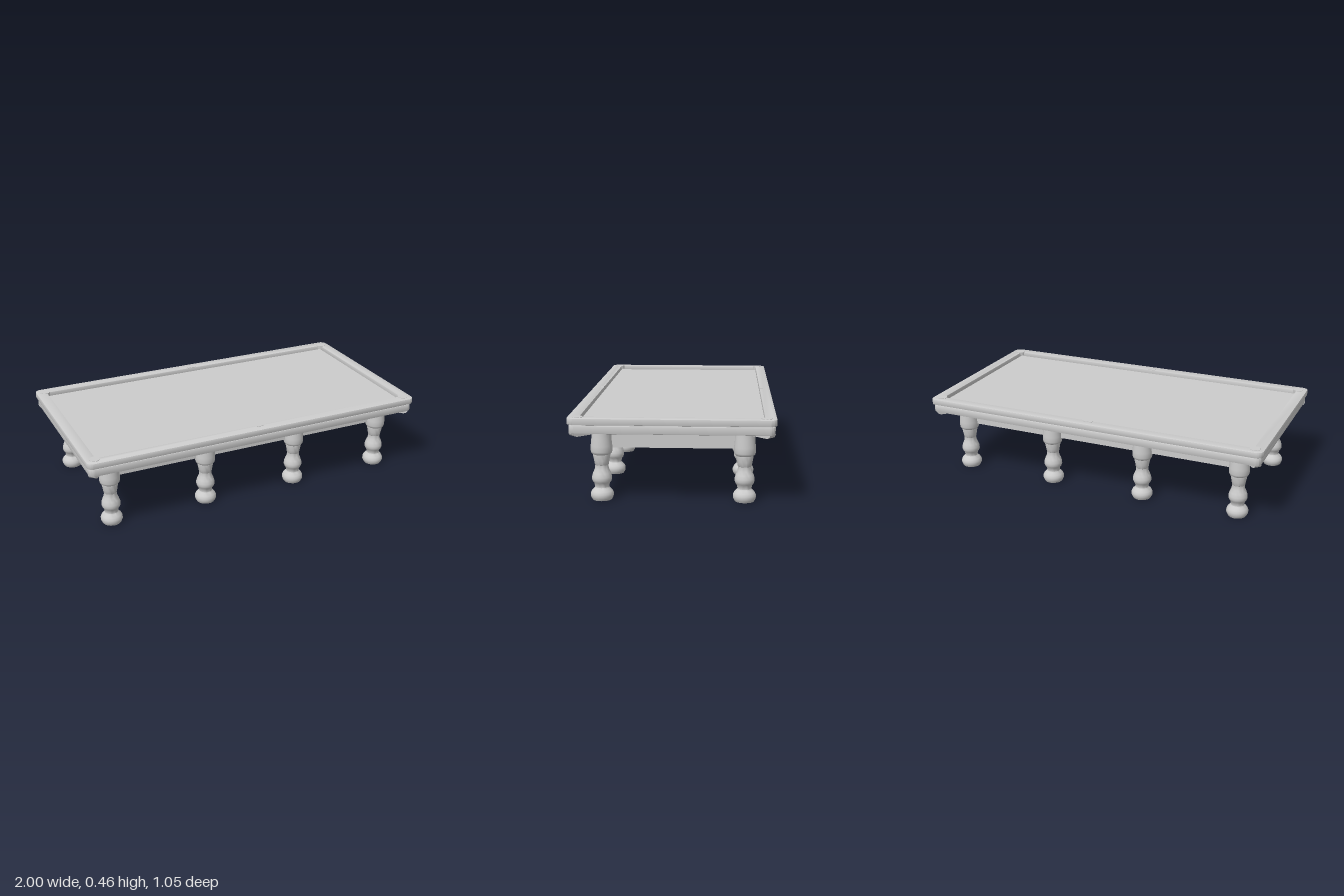
import * as THREE from 'three';
import { toCreasedNormals } from 'three/addons/utils/BufferGeometryUtils.js';

const material = new THREE.MeshStandardMaterial({ color: 0xcccccc });

function add(parent, name, geometry, x = 0, y = 0, z = 0) {
  const mesh = new THREE.Mesh(geometry, material);
  mesh.name = name;
  mesh.position.set(x, y, z);
  parent.add(mesh);
  return mesh;
}

// Rectangle with rounded corners, half sizes w and d
function roundedRect(w, d, r, Type = THREE.Shape) {
  const s = new Type();
  s.moveTo(-w + r, -d);
  s.lineTo(w - r, -d);
  s.absarc(w - r, -d + r, r, -Math.PI / 2, 0);
  s.lineTo(w, d - r);
  s.absarc(w - r, d - r, r, 0, Math.PI / 2);
  s.lineTo(-w + r, d);
  s.absarc(-w + r, d - r, r, Math.PI / 2, Math.PI);
  s.lineTo(-w, -d + r);
  s.absarc(-w + r, -d + r, r, Math.PI, Math.PI * 1.5);
  return s;
}

// Horizontal slab from height y0 to y1, with an optional small bevel
function slab(shape, y0, y1, bevel = 0) {
  const g = new THREE.ExtrudeGeometry(shape, {
    depth: y1 - y0 - 2 * bevel, curveSegments: 6,
    bevelEnabled: bevel > 0, bevelSize: bevel, bevelOffset: -bevel,
    bevelThickness: bevel, bevelSegments: 2,
  });
  g.rotateX(-Math.PI / 2);
  g.translate(0, y0 + bevel, 0);
  return toCreasedNormals(g, 0.6);
}

export function createModel() {
  const table = new THREE.Group();
  table.name = 'billiardTable';

  // Top rail around the sunken playing bed
  const rail = roundedRect(1, 0.527, 0.035);
  const hole = new THREE.Path();
  hole.moveTo(-0.94, -0.467);
  hole.lineTo(-0.94, 0.467);
  hole.lineTo(0.94, 0.467);
  hole.lineTo(0.94, -0.467);
  hole.closePath();
  rail.holes.push(hole);
  add(table, 'rail', slab(rail, 0.422, 0.455, 0.003));
  add(table, 'playingBed', new THREE.BoxGeometry(1.92, 0.02, 0.97), 0, 0.421, 0);

  // Shadow groove and moulded apron under the rail
  add(table, 'groove', slab(roundedRect(0.986, 0.513, 0.03), 0.412, 0.425));
  add(table, 'apron', slab(roundedRect(0.99, 0.519, 0.03), 0.375, 0.417, 0.004));

  // Thin pocket plates let into the rail
  for (const sx of [-1, 1]) {
    for (const sz of [-1, 1]) {
      add(table, 'cornerPocketPlate', new THREE.CylinderGeometry(0.028, 0.028, 0.02, 20),
        sx * 0.949, 0.447, sz * 0.476);
    }
  }
  for (const sz of [-1, 1]) {
    add(table, 'middlePocketPlate', new THREE.BoxGeometry(0.05, 0.02, 0.018), 0, 0.447, sz * 0.477);
  }

  // Closed cabinet between the legs
  add(table, 'cabinet', new THREE.BoxGeometry(1.68, 0.105, 0.74), 0, 0.3275, 0);

  // Diagonal brackets from the corner legs out to the table corners
  const side = new THREE.Shape();
  side.moveTo(0, 0.357);
  side.lineTo(0.165, 0.357);
  side.quadraticCurveTo(0.19, 0.36, 0.192, 0.38);
  side.lineTo(0, 0.38);
  side.closePath();
  const bracket = new THREE.ExtrudeGeometry(side, { depth: 0.04, bevelEnabled: false, curveSegments: 5 });
  bracket.translate(0, 0, -0.02);
  for (const sx of [-1, 1]) {
    for (const sz of [-1, 1]) {
      const b = add(table, 'cornerBracket', bracket, sx * 0.842, 0, sz * 0.37);
      b.rotation.y = Math.atan2(-sz, sx);
    }
  }

  // Turned legs: radius and height pairs from the foot up
  const profile = [
    [0, 0], [0.05, 0], [0.055, 0.008], [0.06, 0.02], [0.06, 0.034], [0.054, 0.047],
    [0.042, 0.06], [0.037, 0.066], [0.037, 0.072], [0.041, 0.088], [0.047, 0.095],
    [0.052, 0.108], [0.052, 0.122], [0.046, 0.142], [0.037, 0.162], [0.034, 0.185],
    [0.036, 0.187], [0.04, 0.21], [0.045, 0.235], [0.045, 0.242], [0.053, 0.248],
    [0.056, 0.258], [0.056, 0.288], [0.052, 0.325], [0.051, 0.378], [0, 0.378],
  ].map(([r, y]) => new THREE.Vector2(r, y));
  const leg = toCreasedNormals(new THREE.LatheGeometry(profile, 28), 0.7);
  for (const x of [-0.842, -0.281, 0.281, 0.842]) {
    for (const z of [-0.37, 0.37]) add(table, 'leg', leg, x, 0, z);
  }

  return table;
}
